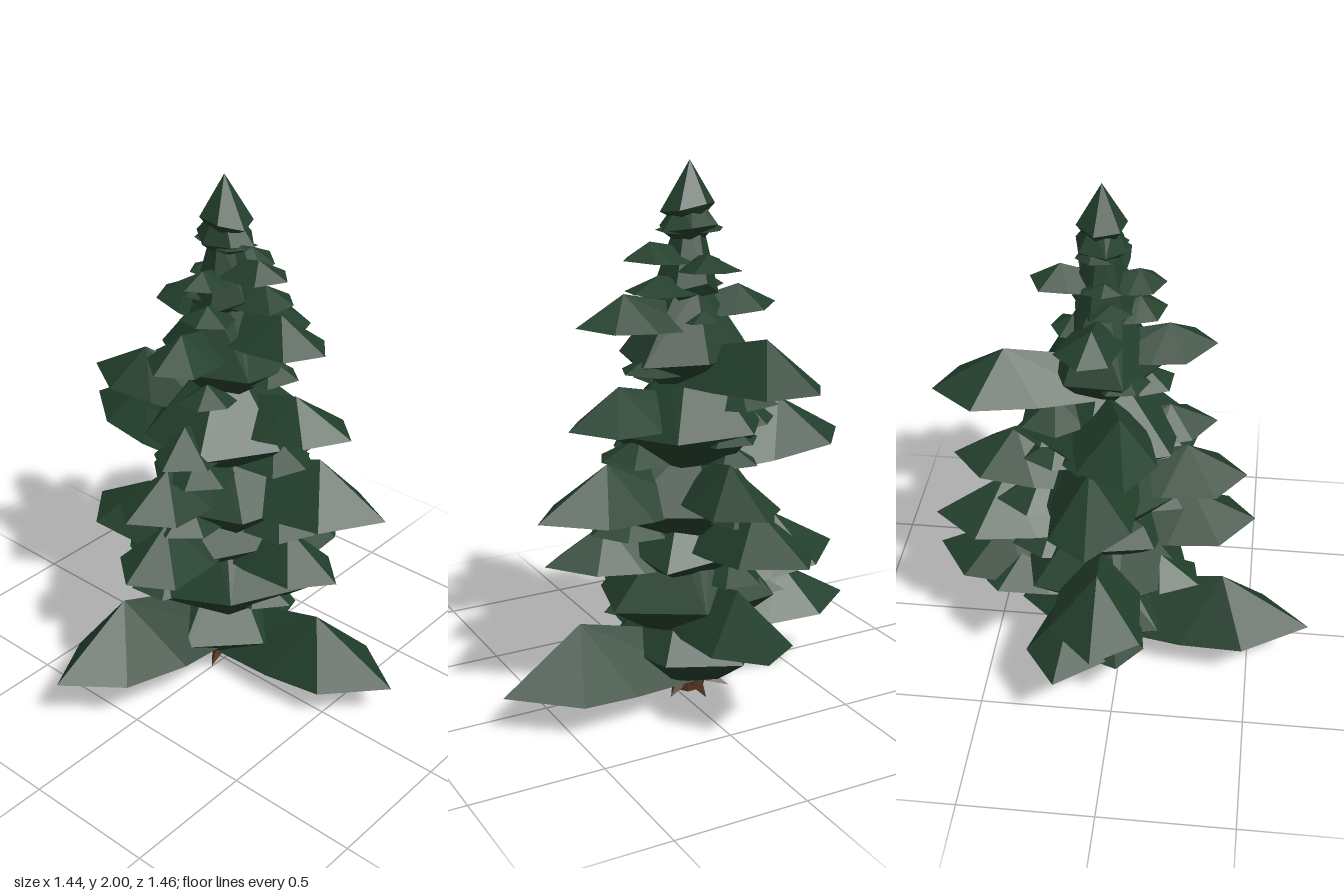
import * as THREE from 'three';
import { ConvexGeometry } from 'three/addons/geometries/ConvexGeometry.js';

const CX = -0.06, CZ = -0.07; // trunk axis
const V = (x, y, z) => new THREE.Vector3(x, y, z);

// Small seeded generator, returns -1..1
let seed = 7;
const rnd = () => {
  seed = (seed * 16807) % 2147483647;
  return (seed / 2147483647) * 2 - 1;
};

const needles = new THREE.MeshStandardMaterial({ color: 0x233f2c, flatShading: true });
const bark = new THREE.MeshStandardMaterial({ color: 0x50331f, flatShading: true });

function part(name, points, material) {
  const mesh = new THREE.Mesh(new ConvexGeometry(points), material);
  mesh.name = name;
  return mesh;
}

// Faceted bough: pointed tip, roof-like peak, wide shoulders, sloping underside
function bough(x, y, z) {
  const L = Math.hypot(x - CX, z - CZ);
  const dx = (x - CX) / L, dz = (z - CZ) / L;
  const w = 0.05 + 0.17 * L, rise = L * (0.18 + 0.1 * L), drop = 0.12 * L;
  const at = (f, side, h) => V(CX + dx * L * f - dz * side, h, CZ + dz * L * f + dx * side);
  const points = [
    V(x, y, z),
    at(0.58, rnd() * w * 0.15, y + rise),
    at(0.3, 0, y - drop),
    at(0, 0, y + rise * 0.4),
  ];
  for (const s of [w, -w]) {
    points.push(
      at(0.77 + rnd() * 0.06, s * (0.95 + rnd() * 0.1), y - drop * 0.2),
      at(0.42, s * 0.95, y - drop * 0.45),
      at(0, s * 0.75, y - drop * 0.7),
    );
  }
  return part('bough', points, needles);
}

// Central skirt of foliage: narrow top, ragged six-sided rim, tucked-in underside
function skirt(top, rim, halfX, halfZ, turn) {
  const pts = [], n = 6;
  const bottom = rim - 0.35 * halfX, topR = top < 2 ? 0.02 + 0.2 * halfX : 0;
  for (let i = 0; i < n; i++) {
    const a = turn + (i / n) * Math.PI * 2, c = Math.cos(a), s = Math.sin(a);
    const ring = (k, y) => V(CX + 0.01 + c * k * halfX, y, CZ + s * k * halfZ);
    pts.push(ring(1.04 + rnd() * 0.08, rim + rnd() * (top - rim) * 0.12));
    pts.push(ring(0.62, bottom));
    pts.push(V(CX + c * topR, top, CZ + s * topR));
  }
  return part('foliageSkirt', pts, needles);
}

// Top, rim height, half width, half depth and turn of each skirt
const skirts = [
  [0.44, 0.19, 0.27, 0.31, 0.3],
  [0.68, 0.41, 0.32, 0.32, 0.8],
  [0.86, 0.60, 0.27, 0.27, 0.2],
  [1.02, 0.77, 0.31, 0.28, 0.7],
  [1.28, 1.04, 0.29, 0.31, 0.1],
  [1.56, 1.31, 0.24, 0.20, 0.6],
  [1.80, 1.55, 0.115, 0.11, 0.3],
  [1.86, 1.77, 0.11, 0.09, 0.8],
  [2.00, 1.84, 0.1, 0.09, 0.2],
];

// Bough tips from bottom to top: outward coordinate, height, sideways coordinate
const left = [[0.72, 0.15, -0.13], [0.51, 0.58, -0.04], [0.6, 0.81, -0.2],
  [0.46, 1.11, -0.16], [0.39, 1.45, -0.08], [0.21, 1.67, -0.09]];
const right = [[-0.51, 0.24, 0.02], [-0.68, 0.31, -0.19], [-0.72, 0.47, -0.05],
  [-0.72, 0.94, -0.06], [-0.6, 1.15, 0.06], [-0.39, 1.48, -0.12], [-0.19, 1.64, -0.06]];
const front = [[0.73, 0.21, -0.18], [0.5, 0.61, -0.03], [0.46, 0.84, -0.06],
  [0.34, 1.03, 0.01], [0.33, 1.39, -0.03], [0.15, 1.64, -0.05]];
const back = [[-0.58, 0.34, -0.12], [-0.73, 0.37, -0.01], [-0.69, 0.67, -0.19], [-0.64, 0.85, -0.05],
  [-0.39, 1.04, -0.14], [-0.65, 1.27, -0.24], [-0.32, 1.64, -0.06]];

export function createModel() {
  seed = 7;
  const tree = new THREE.Group();
  tree.name = 'conifer';

  // Trunk base
  const trunk = new THREE.Mesh(new THREE.CylinderGeometry(0.05, 0.068, 0.22, 7), bark);
  trunk.name = 'trunk';
  trunk.position.set(CX, 0.11, CZ);
  tree.add(trunk);

  // Splayed roots
  for (let i = 0; i < 7; i++) {
    const a = (i / 7) * Math.PI * 2 + 0.25, r = 0.155 + rnd() * 0.015;
    const c = Math.cos(a), s = Math.sin(a);
    const p = (d, side, y) => V(CX + c * d - s * side, y, CZ + s * d + c * side);
    tree.add(part('root', [
      p(r, 0, 0.012), p(0.09, 0.022, 0.03), p(0.09, -0.022, 0.03), p(0.09, 0, 0.065),
      p(0.03, 0.03, 0.04), p(0.03, -0.03, 0.04), p(0.03, 0, 0.11),
    ], bark));
  }

  skirts.forEach((s) => tree.add(skirt(...s)));

  // Main boughs on each side, with a shorter filler between neighbours
  for (const side of [left, right, front, back]) {
    const alongX = side === left || side === right;
    const add = (out, y, across) => tree.add(alongX ? bough(out, y, across) : bough(across, y, out));
    side.forEach(([out, y, across], i) => {
      add(out, y, across);
      if (i === side.length - 1) return;
      const [out2, y2, across2] = side[i + 1];
      const shrink = 0.85 - 0.9 * (y2 - y);
      add(((out + out2) / 2) * shrink, (y + y2) / 2, (across + across2) / 2 + rnd() * 0.1);
    });
  }

  // Tufts under the crown
  for (const s of [1, -1]) tree.add(bough(CX + s * 0.12, 1.76, CZ + s * 0.03));

  return tree;
}
